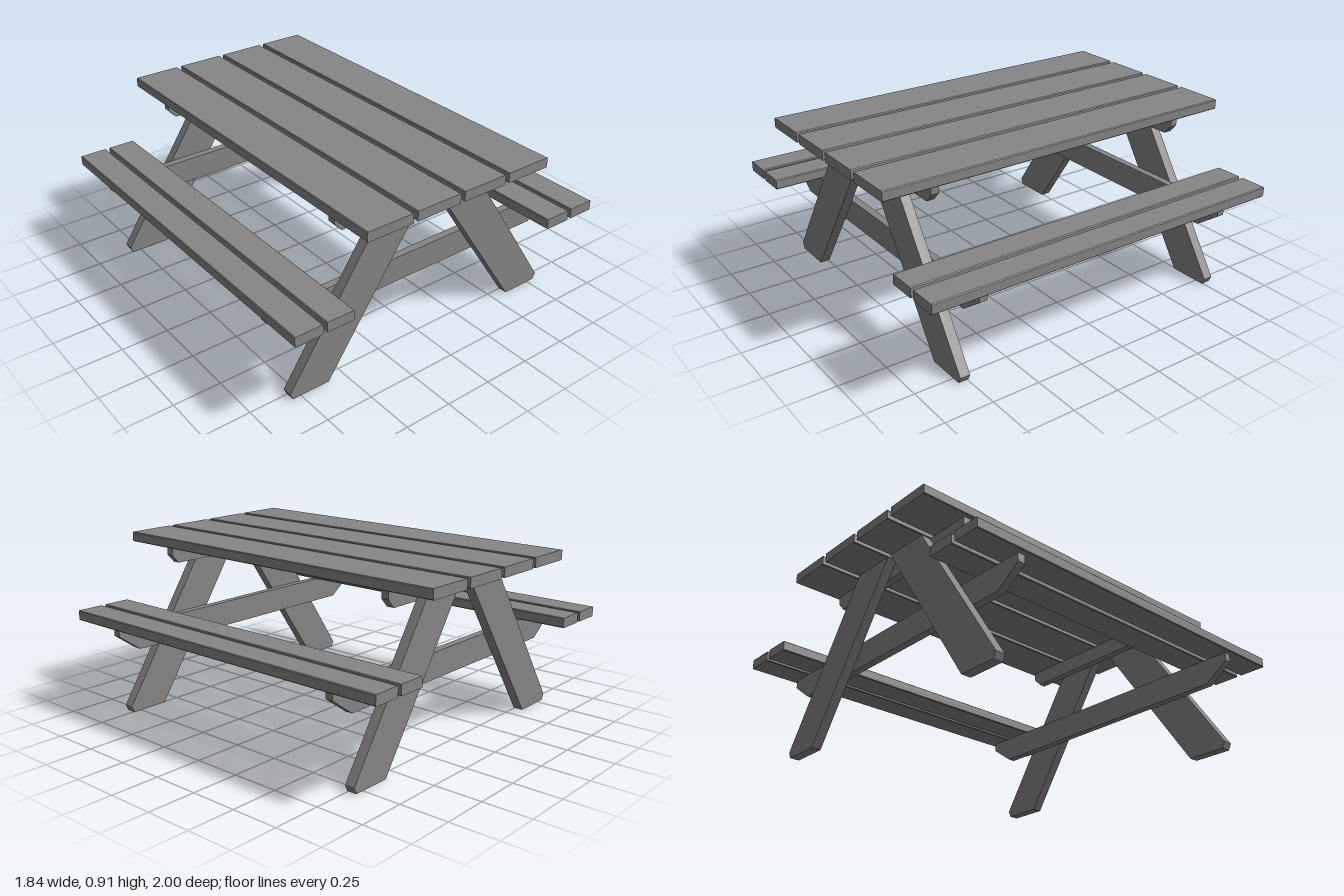
import * as THREE from 'three';

const material = new THREE.MeshStandardMaterial({ color: 0x868686, flatShading: true });

// Extrude an x-y outline along z from z0 to z1.
function board(name, points, z0, z1) {
  const shape = new THREE.Shape(points.map(([x, y]) => new THREE.Vector2(x, y)));
  const geometry = new THREE.ExtrudeGeometry(shape, { depth: z1 - z0, bevelEnabled: false });
  geometry.translate(0, 0, z0);
  const mesh = new THREE.Mesh(geometry, material);
  mesh.name = name;
  return mesh;
}

// Full-length plank with slightly chamfered long edges.
function plank(name, x0, x1, y0, y1) {
  const c = 0.004;
  return board(name, [
    [x0 + c, y0], [x1 - c, y0], [x1, y0 + c], [x1, y1 - c],
    [x1 - c, y1], [x0 + c, y1], [x0, y1 - c], [x0, y0 + c],
  ], -1, 1);
}

// Crosswise beam with its lower corners cut off.
function beam(name, top, bottom, y0, yCut, y1, z0, z1) {
  return board(name, [
    [-bottom, y0], [bottom, y0], [top, yCut], [top, y1], [-top, y1], [-top, yCut],
  ], z0, z1);
}

export function createModel() {
  const group = new THREE.Group();
  group.name = 'picnicTable';

  // Table top and bench planks, mirrored left and right
  for (const [side, s] of [['left', 1], ['right', -1]]) {
    const add = (name, a, b, y0, y1) =>
      group.add(plank(side + name, Math.min(s * a, s * b), Math.max(s * a, s * b), y0, y1));
    add('InnerTablePlank', 0.012, 0.266, 0.855, 0.907);
    add('OuterTablePlank', 0.29, 0.545, 0.855, 0.907);
    add('InnerBenchPlank', 0.606, 0.754, 0.488, 0.541);
    add('OuterBenchPlank', 0.775, 0.922, 0.488, 0.541);
  }

  // End frames: splayed legs outside, two beams fixed to their inner faces
  for (const [end, e] of [['front', 1], ['back', -1]]) {
    const span = (a, b) => (e > 0 ? [a, b] : [-b, -a]);
    for (const [side, s] of [['Left', 1], ['Right', -1]]) {
      const outline = [[0.589, 0], [0.795, 0], [0.81, 0.033], [0.262, 0.855], [0.012, 0.855]];
      group.add(board(end + side + 'Leg', outline.map(([x, y]) => [s * x, y]), ...span(0.744, 0.796)));
    }
    group.add(beam(end + 'TableBeam', 0.521, 0.48, 0.767, 0.812, 0.855, ...span(0.704, 0.744)));
    group.add(beam(end + 'BenchBeam', 0.892, 0.764, 0.353, 0.445, 0.488, ...span(0.704, 0.744)));
  }
  return group;
}
